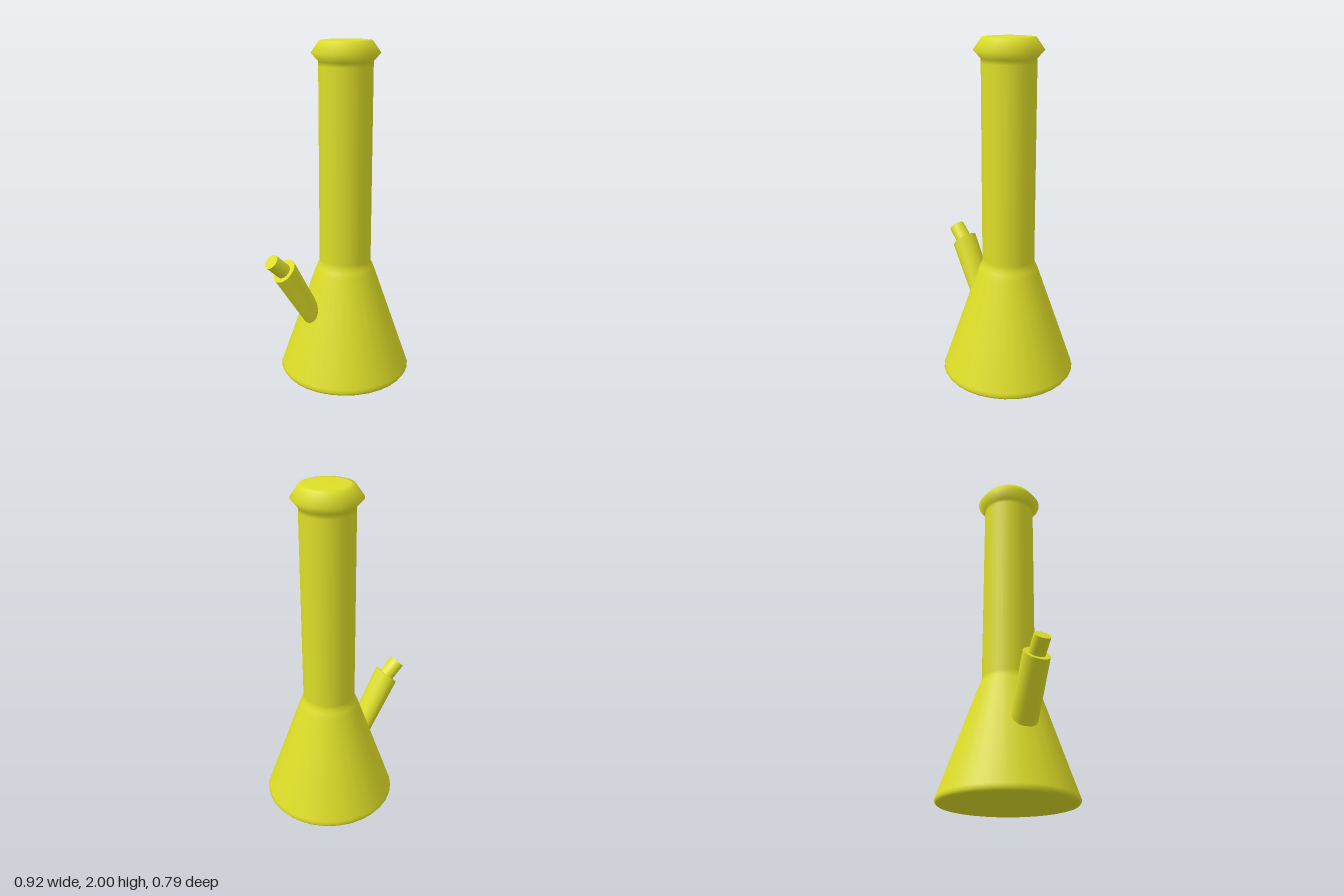
import * as THREE from 'three';

const material = new THREE.MeshStandardMaterial({ color: 0xdddd28 });

// Capped straight tube between two slanted elliptical rings.
// ring: centre (x, y), half-width vector (dx, dy) in the xy plane, half-depth rz
function slantedTube(name, top, bottom) {
  const geometry = new THREE.CylinderGeometry(1, 1, 1, 32, 1);
  const p = geometry.attributes.position;
  for (let i = 0; i < p.count; i++) {
    const ring = p.getY(i) > 0 ? top : bottom;
    const u = p.getX(i), w = p.getZ(i);
    p.setXYZ(i, ring.x + ring.dx * u, ring.y + ring.dy * u, ring.rz * w);
  }
  // average the wall normals across the closing seam
  geometry.computeVertexNormals();
  const n = geometry.attributes.normal;
  for (const row of [0, 33]) {
    const v = new THREE.Vector3().fromBufferAttribute(n, row)
      .add(new THREE.Vector3().fromBufferAttribute(n, row + 32)).normalize();
    n.setXYZ(row, v.x, v.y, v.z);
    n.setXYZ(row + 32, v.x, v.y, v.z);
  }
  const mesh = new THREE.Mesh(geometry, material);
  mesh.name = name;
  return mesh;
}

export function createModel() {
  const group = new THREE.Group();
  group.name = 'beakerWithStem';

  // conical flask, straight neck and flared lip in one turned profile
  const profile = [
    [0, 0.004], [0.3, 0.004], [0.34, 0.004], [0.385, 0.01], [0.395, 0.025],
    [0.388, 0.045], [0.18, 0.65], [0.167, 0.682], [0.155, 0.705], [0.154, 0.73],
    [0.154, 1.86], [0.154, 1.885], [0.195, 1.93], [0.148, 1.997], [0.12, 2], [0, 2],
  ].map(([r, y]) => new THREE.Vector2(r, y));
  const body = new THREE.Mesh(new THREE.LatheGeometry(profile, 32), material);
  body.name = 'flaskBody';
  body.position.x = 0.065;
  group.add(body);

  // side stem rising out of the cone
  group.add(slantedTube('sideStem',
    { x: -0.35, y: 0.725, dx: 0.055, dy: 0.055, rz: 0.077 },
    { x: -0.142, y: 0.363, dx: 0.03, dy: 0.06, rz: 0.077 }));

  // narrower socket at the end of the stem
  group.add(slantedTube('stemSocket',
    { x: -0.43, y: 0.797, dx: 0.031, dy: 0.033, rz: 0.048 },
    { x: -0.34, y: 0.71, dx: 0.031, dy: 0.033, rz: 0.048 }));

  return group;
}
